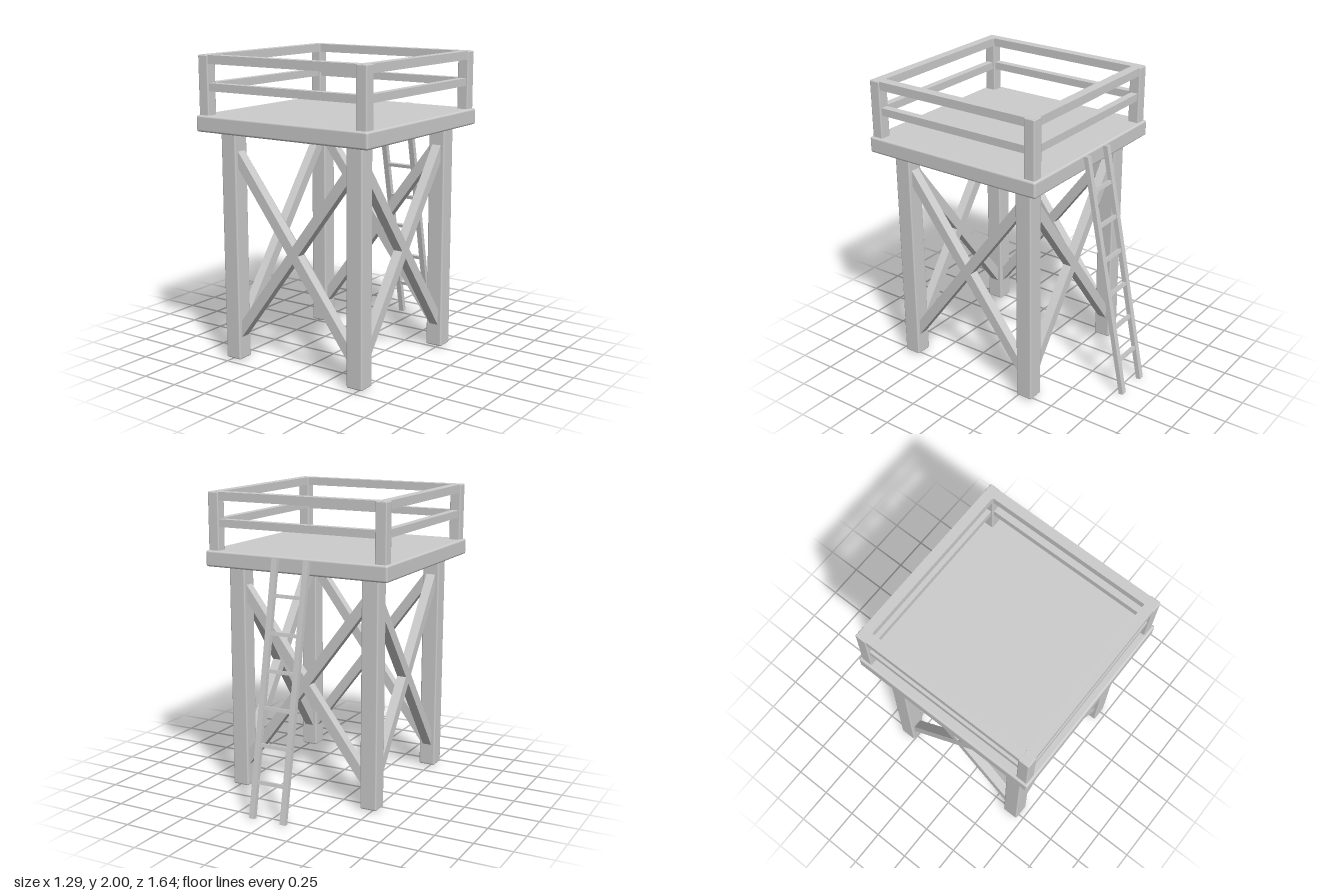
import * as THREE from 'three';
import { RoundedBoxGeometry } from 'three/addons/geometries/RoundedBoxGeometry.js';

export function createModel() {
  const timber = new THREE.MeshStandardMaterial({ color: 0xcccccc });
  timber.name = 'greyTimber';

  const model = new THREE.Group();
  model.name = 'watchPlatform';

  function add(parent, name, geometry, x, y, z) {
    const mesh = new THREE.Mesh(geometry, timber);
    mesh.name = name;
    mesh.position.set(x, y, z);
    parent.add(mesh);
    return mesh;
  }
  const box = (w, h, d) => new THREE.BoxGeometry(w, h, d);
  const rounded = (w, h, d, r) => new RoundedBoxGeometry(w, h, d, 2, r);

  // Tower, square in plan, set forward of the ladder
  const tower = new THREE.Group();
  tower.name = 'tower';
  tower.position.z = 0.175;
  model.add(tower);

  add(tower, 'deck', rounded(1.292, 0.106, 1.292, 0.014), 0, 1.57, 0);

  // Legs and railing posts at the four corners
  const LEG = 0.48, POST = 0.592;
  for (const sx of [-1, 1]) {
    for (const sz of [-1, 1]) {
      add(tower, 'leg', rounded(0.115, 1.53, 0.115, 0.01), sx * LEG, 0.775, sz * LEG);
      add(tower, 'railingPost', rounded(0.076, 0.39, 0.076, 0.008), sx * POST, 1.805, sz * POST);
    }
  }

  // Each side carries two rails and a pair of crossed braces
  const braceAngle = Math.atan2(1.115, 0.84);
  for (let i = 0; i < 4; i++) {
    const side = new THREE.Group();
    side.name = 'side';
    side.rotation.y = (i * Math.PI) / 2;
    tower.add(side);
    const topLength = i % 2 ? 1.118 : 1.248;
    add(side, 'topRail', box(topLength, 0.055, 0.065), 0, 1.9725, POST);
    add(side, 'middleRail', box(1.15, 0.05, 0.05), 0, 1.8, POST);
    for (const s of [-1, 1]) {
      const brace = add(side, 'crossBrace', box(1.53, 0.066, 0.064), 0, 0.777, LEG);
      brace.rotation.z = s * braceAngle;
    }
  }

  // Ladder leaning against the back edge of the deck
  const foot = new THREE.Vector3(0, 0.003, -0.804);
  const head = new THREE.Vector3(0, 1.617, -0.487);
  const lean = Math.atan2(head.z - foot.z, head.y - foot.y);
  const length = foot.distanceTo(head);
  const ladder = new THREE.Group();
  ladder.name = 'ladder';
  ladder.position.copy(foot);
  ladder.rotation.x = lean;
  model.add(ladder);
  for (const s of [-1, 1]) {
    add(ladder, 'ladderRail', box(0.038, length, 0.032), s * 0.112, length / 2, 0);
  }
  for (let i = 1; i <= 6; i++) {
    add(ladder, 'rung', box(0.21, 0.023, 0.023), 0, (length * i) / 7, 0);
  }

  return model;
}
